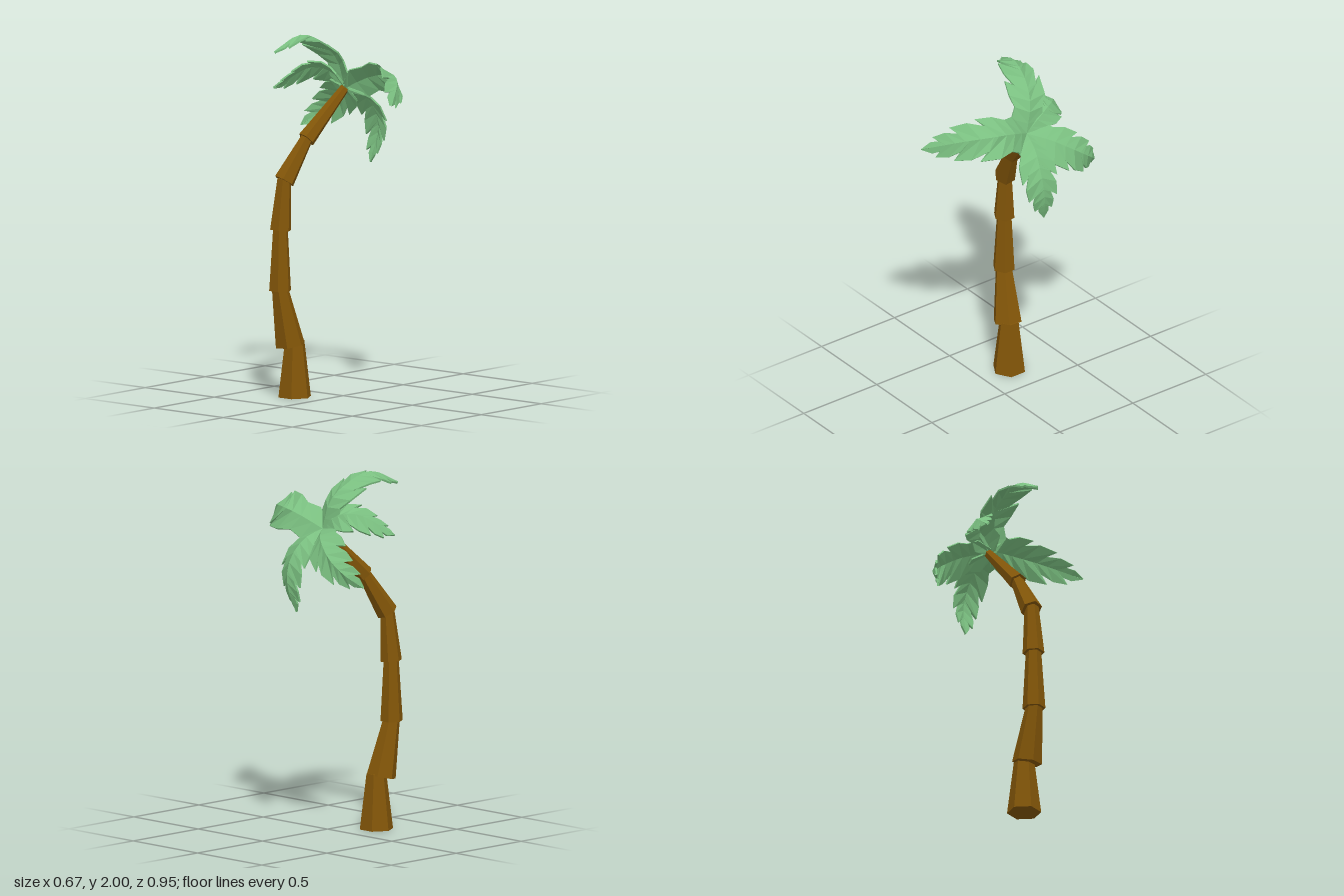
import * as THREE from 'three';

const V = (x, y, z) => new THREE.Vector3(x, y, z);

// Trunk segments: base centre, top centre, base radius, top radius
const SEGMENTS = [
  [V(-0.198, 0, -0.18), V(-0.198, 0.31, -0.18), 0.094, 0.056],
  [V(-0.225, 0.29, -0.19), V(-0.287, 0.61, -0.21), 0.083, 0.046],
  [V(-0.285, 0.595, -0.21), V(-0.282, 0.945, -0.21), 0.063, 0.042],
  [V(-0.282, 0.93, -0.21), V(-0.262, 1.215, -0.2), 0.06, 0.039],
  [V(-0.262, 1.2, -0.2), V(-0.128, 1.432, -0.148), 0.06, 0.035],
  [V(-0.135, 1.42, -0.15), V(0.11, 1.685, -0.082), 0.051, 0.026],
];

// Crown centre and the direction it faces
const HUB = V(0.1, 1.69, -0.07);
const AXIS = V(0.75, 0.65, 0.12).normalize();

// Rib paths of the fronds (after the hub) and their width factors
const FRONDS = [
  { name: 'upperFrond', width: 0.92, path: [V(0.08, 1.85, -0.11), V(-0.01, 1.94, -0.15), V(-0.15, 1.99, -0.18), V(-0.32, 1.915, -0.22)] },
  { name: 'backLeftFrond', width: 0.85, path: [V(0.1, 1.77, -0.17), V(0.05, 1.79, -0.28), V(-0.11, 1.675, -0.41)] },
  { name: 'backRightFrond', width: 0.96, path: [V(0.21, 1.665, -0.16), V(0.275, 1.58, -0.29), V(0.26, 1.505, -0.385), V(0.185, 1.43, -0.47)] },
  { name: 'lowerFrond', width: 0.92, path: [V(0.21, 1.65, -0.045), V(0.3, 1.54, -0.02), V(0.325, 1.41, -0.025), V(0.285, 1.255, -0.05)] },
  { name: 'frontFrond', width: 1.03, path: [V(0.15, 1.755, 0.05), V(0.145, 1.785, 0.2), V(0.06, 1.765, 0.33), V(-0.14, 1.67, 0.465)] },
];

// Half outline of a frond: [rib position, edge position, half width]
const OUTLINE = [
  [0, 0, 0.03], [0.1, 0.12, 0.1], [0.2, 0.24, 0.088], [0.29, 0.36, 0.115],
  [0.36, 0.53, 0.115], [0.4, 0.45, 0.07], [0.5, 0.6, 0.1],
  [0.58, 0.75, 0.09], [0.62, 0.68, 0.05], [0.7, 0.79, 0.066],
  [0.78, 0.9, 0.055], [0.82, 0.85, 0.028], [0.9, 0.92, 0.03], [1, 1, 0.002],
];

function frondGeometry(path, width) {
  const curve = new THREE.CatmullRomCurve3([HUB, ...path]);
  const across = path[1].clone().sub(HUB).cross(AXIS).normalize();
  const positions = [];

  // Point on the frond, w to the side and lowered or raised along its normal
  const point = (s, w, lift) => {
    const t = curve.getTangentAt(s);
    const side = across.clone().addScaledVector(t, -across.dot(t)).normalize();
    const normal = side.clone().cross(t);
    return curve.getPointAt(s).addScaledVector(side, w)
      .addScaledVector(normal, lift - 0.25 * Math.abs(w));
  };
  const quad = (a, b, c, d, flip) => {
    const order = flip ? [a, c, b, a, d, c] : [a, b, c, a, c, d];
    for (const p of order) positions.push(p.x, p.y, p.z);
  };

  for (const sign of [1, -1]) {
    const rows = OUTLINE.map(([r, s, w]) => ({
      ribTop: point(r, 0, 0.008), ribLow: point(r, 0, -0.008),
      edgeTop: point(s, sign * w * width, 0.005), edgeLow: point(s, sign * w * width, -0.005),
    }));
    const flip = sign < 0;
    for (let i = 0; i < rows.length - 1; i++) {
      const a = rows[i], b = rows[i + 1];
      quad(a.ribTop, a.edgeTop, b.edgeTop, b.ribTop, flip);
      quad(a.ribLow, a.edgeLow, b.edgeLow, b.ribLow, !flip);
      quad(a.edgeTop, a.edgeLow, b.edgeLow, b.edgeTop, flip);
    }
  }
  const geometry = new THREE.BufferGeometry();
  geometry.setAttribute('position', new THREE.Float32BufferAttribute(positions, 3));
  geometry.computeVertexNormals();
  return geometry;
}

export function createModel() {
  const palm = new THREE.Group();
  palm.name = 'palmTree';
  const bark = new THREE.MeshStandardMaterial({ color: 0x835608, flatShading: true });
  const leaf = new THREE.MeshStandardMaterial({ color: 0x7abf80, flatShading: true });

  // Trunk: stacked six-sided segments, each tapering into the next
  const trunk = new THREE.Group();
  trunk.name = 'trunk';
  SEGMENTS.forEach(([base, top, baseRadius, topRadius], i) => {
    const dir = top.clone().sub(base);
    const length = dir.length();
    const geometry = new THREE.CylinderGeometry(topRadius, baseRadius, length, 6);
    geometry.translate(0, length / 2, 0);
    const segment = new THREE.Mesh(geometry, bark);
    segment.name = `trunkSegment${i + 1}`;
    segment.position.copy(base);
    segment.quaternion.setFromUnitVectors(V(0, 1, 0), dir.normalize());
    trunk.add(segment);
  });
  palm.add(trunk);

  // Crown: drooping fronds around the tilted top
  const crown = new THREE.Group();
  crown.name = 'crown';
  for (const { name, path, width } of FRONDS) {
    const frond = new THREE.Mesh(frondGeometry(path, width), leaf);
    frond.name = name;
    crown.add(frond);
  }
  palm.add(crown);
  return palm;
}
